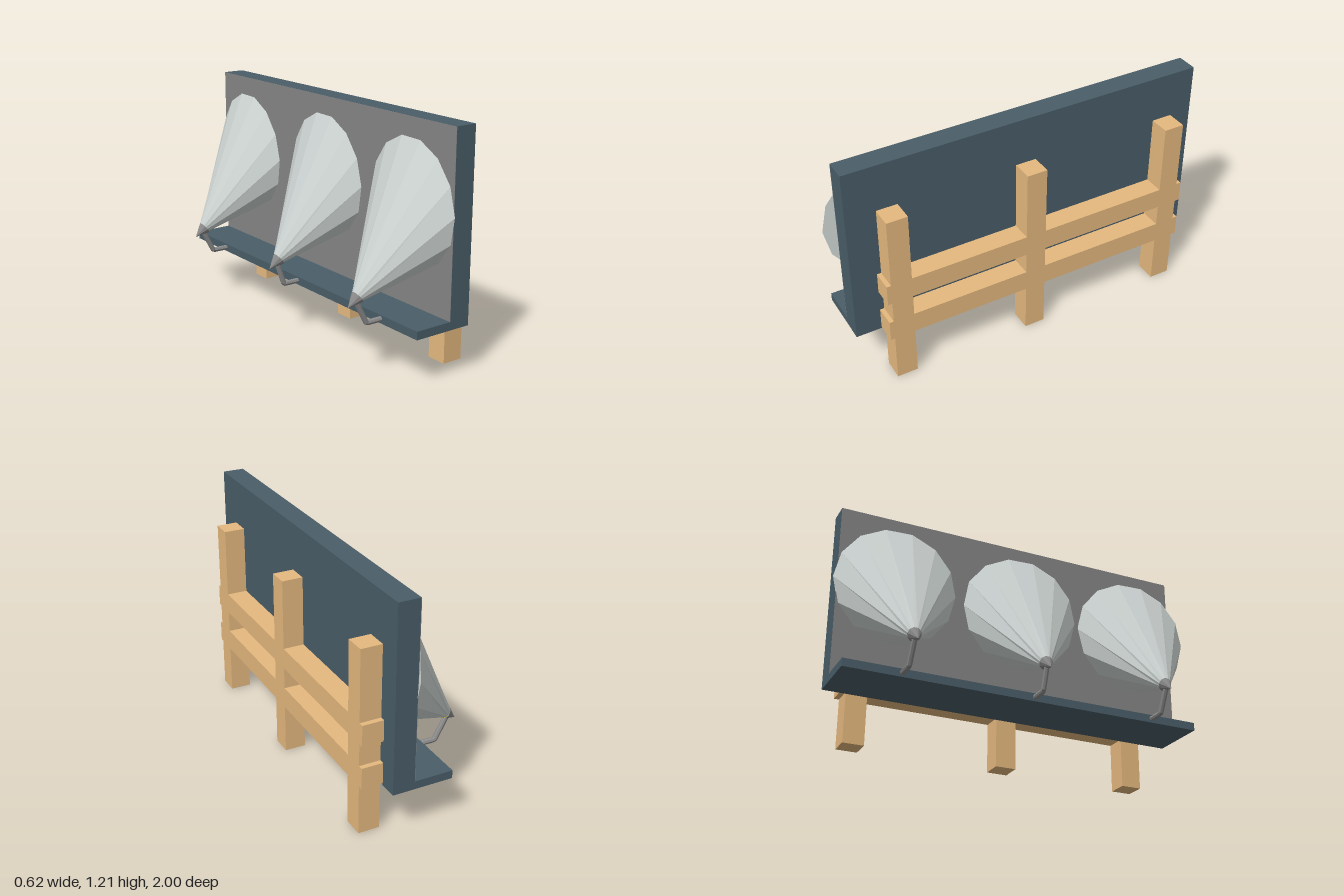
import * as THREE from 'three';

const paint = (color) => new THREE.MeshStandardMaterial({ color, flatShading: true });
const slate = paint(0x4a5e69);
const wood = paint(0xe6b97f);
const backing = paint(0x858585);
const beamGrey = paint(0xcfd6d4);
const metal = paint(0x8c8c8c);
const yellow = paint(0xd8c82a);

function add(parent, name, geometry, material) {
  const mesh = new THREE.Mesh(geometry, material);
  mesh.name = name;
  parent.add(mesh);
  return mesh;
}

// Box given by its min and max along each axis
function box(parent, name, material, [x0, x1], [y0, y1], [z0, z1]) {
  const mesh = add(parent, name, new THREE.BoxGeometry(x1 - x0, y1 - y0, z1 - z0), material);
  mesh.position.set((x0 + x1) / 2, (y0 + y1) / 2, (z0 + z1) / 2);
  return mesh;
}

// Oblique light cone: a small ring at the lamp, a wide tilted ring at the panel
function beamGeometry(shift) {
  const geo = new THREE.CylinderGeometry(0.03, 0.317, 1, 14).toNonIndexed();
  const p = geo.attributes.position;
  for (let i = 0; i < p.count; i++) {
    const u = p.getX(i), z = p.getZ(i);
    if (p.getY(i) > 0) {
      p.setXYZ(i, -0.255 + shift - 0.77 * u, 0.41 + 0.63 * u, z);
    } else {
      p.setXYZ(i, Math.min(0.09, 0.063 + shift * 0.3 - 0.05 * u - 0.075 * z), 0.812 + u, z);
    }
  }
  geo.computeVertexNormals();
  return geo;
}

function spotlight(z, shift) {
  const group = new THREE.Group();
  group.name = 'spotlight';
  group.position.z = z;
  add(group, 'lightBeam', beamGeometry(shift), beamGrey);

  // Lamp shade with its tip pointing down and away from the panel
  const tip = new THREE.Vector3(-0.31 + shift, 0.368, 0);
  const rim = new THREE.Vector3(-0.253 + shift, 0.411, 0);
  const axis = tip.clone().sub(rim);
  const turn = new THREE.Quaternion().setFromUnitVectors(
    new THREE.Vector3(0, 1, 0), axis.clone().normalize());
  const shade = add(group, 'lampShade', new THREE.ConeGeometry(0.036, axis.length(), 10), metal);
  shade.position.copy(tip).add(rim).multiplyScalar(0.5);
  shade.quaternion.copy(turn);
  const bulb = add(group, 'bulb', new THREE.CylinderGeometry(0.032, 0.032, 0.008, 10), yellow);
  bulb.position.copy(rim);
  bulb.quaternion.copy(turn);

  // Bent arm: two straight lengths joined at an elbow
  const elbow = new THREE.Vector3(-0.2, 0.272, 0);
  const path = new THREE.CurvePath();
  path.add(new THREE.LineCurve3(new THREE.Vector3(-0.1, 0.272, 0), elbow));
  path.add(new THREE.LineCurve3(elbow, new THREE.Vector3(-0.268 + shift, 0.4, 0)));
  add(group, 'lampArm', new THREE.TubeGeometry(path, 24, 0.014, 8), metal);
  return group;
}

export function createModel() {
  const model = new THREE.Group();
  model.name = 'litSignOnFence';

  // Upright board with a ledge along its foot
  const length = [-0.98, 0.947];
  box(model, 'board', slate, [0.087, 0.2], [0.25, 1.21], length);
  box(model, 'ledge', slate, [-0.115, 0.1], [0.25, 0.292], length);
  box(model, 'boardFace', backing, [0.085, 0.088], [0.292, 1.209], length);

  // Wooden frame behind the board
  for (const z of [-0.805, 0, 0.738]) {
    box(model, 'post', wood, [0.2, 0.31], [0, 0.964], [z - 0.055, z + 0.054]);
  }
  for (const y of [0.26, 0.485]) {
    box(model, 'rail', wood, [0.2, 0.31], [y, y + 0.111], [-0.886, 0.814]);
  }

  // Three lamps shining up at the panel
  [[-0.683, 0], [0.013, 0.022], [0.686, 0]].forEach(([z, shift]) => model.add(spotlight(z, shift)));
  return model;
}
